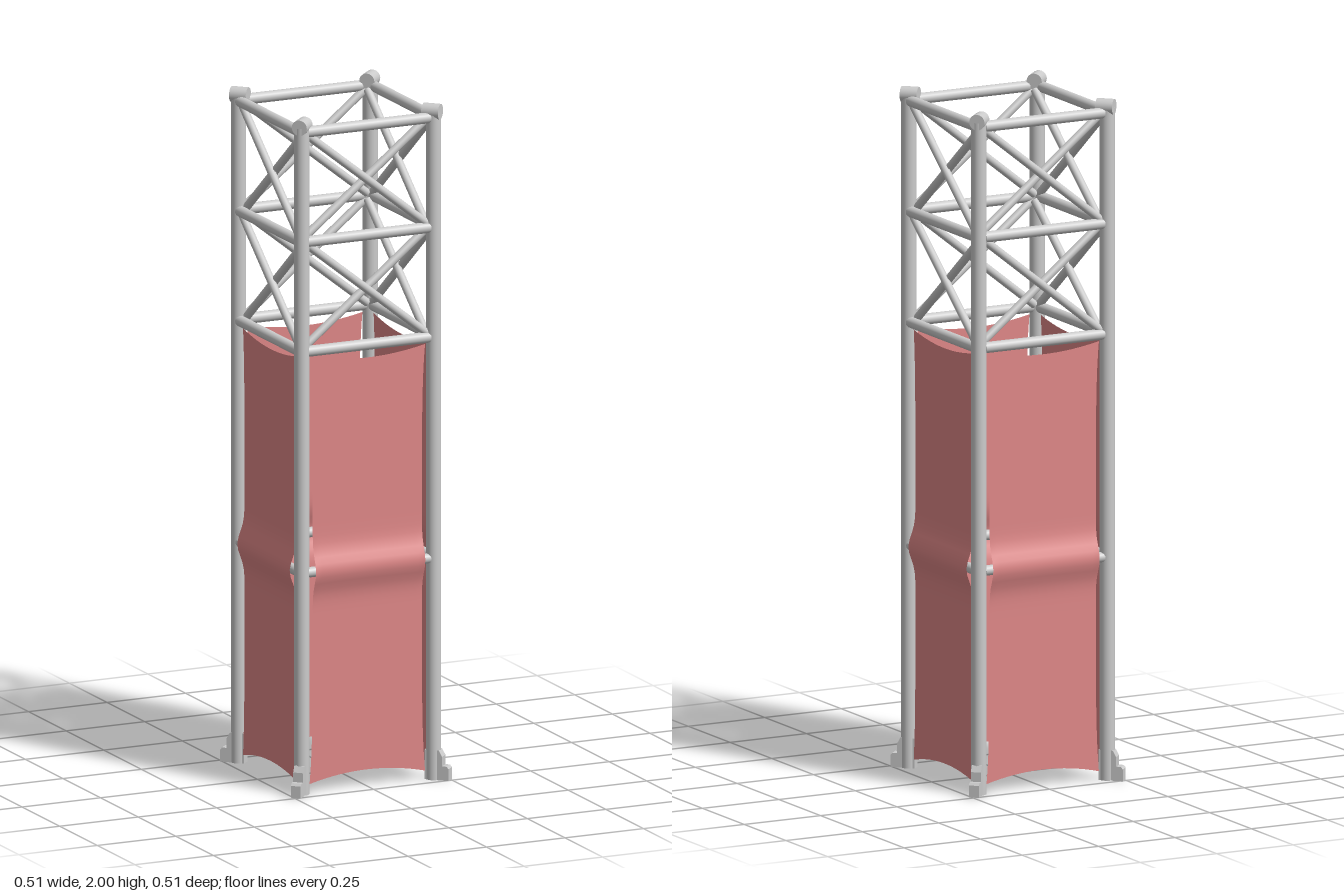
import * as THREE from 'three';

const metal = new THREE.MeshStandardMaterial({ color: 0xcccccc });
const cloth = new THREE.MeshStandardMaterial({ color: 0xe08888, side: THREE.DoubleSide });
const UP = new THREE.Vector3(0, 1, 0);

// round bar between two points
function bar(name, a, b, radius) {
  const p = new THREE.Vector3(...a), q = new THREE.Vector3(...b);
  const dir = q.clone().sub(p);
  const mesh = new THREE.Mesh(new THREE.CylinderGeometry(radius, radius, dir.length(), 20), metal);
  mesh.name = name;
  mesh.position.copy(p).add(q).multiplyScalar(0.5);
  mesh.quaternion.setFromUnitVectors(UP, dir.normalize());
  return mesh;
}

// hanging sheet with curved hems, pushed out where it passes over the middle rail
function panel() {
  const geo = new THREE.PlaneGeometry(2, 1, 16, 64);
  const pos = geo.attributes.position;
  for (let i = 0; i < pos.count; i++) {
    const u = pos.getX(i), t = pos.getY(i) + 0.5;
    const bottom = 0.05 - 0.024 * u * u;
    const top = 1.27 + 0.02 * u * u;
    const y = bottom + (top - bottom) * t;
    const half = 0.174 + 0.01 * Math.pow(Math.abs(2 * t - 1), 6);
    const ridge = Math.exp(-Math.pow((y - 0.655) / 0.05, 2));
    pos.setXYZ(i, u * half, y, 0.208 + 0.023 * ridge);
  }
  geo.computeVertexNormals();
  const mesh = new THREE.Mesh(geo, cloth);
  mesh.name = 'fabricPanel';
  return mesh;
}

// stepped foot pointing outwards along +x
function foot() {
  const profile = [[0.275, 0], [0.348, 0], [0.348, 0.035], [0.342, 0.042], [0.328, 0.042],
    [0.328, 0.07], [0.318, 0.088], [0.275, 0.088]];
  const shape = new THREE.Shape(profile.map(([x, y]) => new THREE.Vector2(x, y)));
  const geo = new THREE.ExtrudeGeometry(shape, { depth: 0.03, bevelEnabled: false });
  geo.translate(0, 0, -0.015);
  const mesh = new THREE.Mesh(geo, metal);
  mesh.name = 'foot';
  return mesh;
}

export function createModel() {
  const model = new THREE.Group();
  model.name = 'trussTower';
  const levels = [1.31, 1.635, 1.96];

  for (let k = 0; k < 4; k++) {
    // one face: rails, cross braces and sheet
    const side = new THREE.Group();
    side.name = 'side' + (k + 1);
    side.rotation.y = k * Math.PI / 2;
    for (const y of levels) side.add(bar('rail', [-0.195, y, 0.212], [0.195, y, 0.212], 0.016));
    side.add(bar('middleRail', [-0.195, 0.655, 0.212], [0.195, 0.655, 0.212], 0.015));
    for (let i = 0; i < 2; i++) {
      const low = levels[i] + 0.01, high = levels[i + 1] - 0.01;
      side.add(bar('brace', [-0.192, low, 0.193], [0.192, high, 0.193], 0.012));
      side.add(bar('brace', [-0.192, high, 0.207], [0.192, low, 0.207], 0.012));
    }
    side.add(panel());
    model.add(side);

    // one corner: post, end cap and foot, with +x running out along the diagonal
    const corner = new THREE.Group();
    corner.name = 'corner' + (k + 1);
    corner.rotation.y = Math.PI / 4 + k * Math.PI / 2;
    corner.add(bar('post', [0.297, 0, 0], [0.297, 1.975, 0], 0.022));
    corner.add(bar('postCap', [0.267, 1.977, 0], [0.318, 1.977, 0], 0.023));
    corner.add(foot());
    model.add(corner);
  }
  return model;
}
